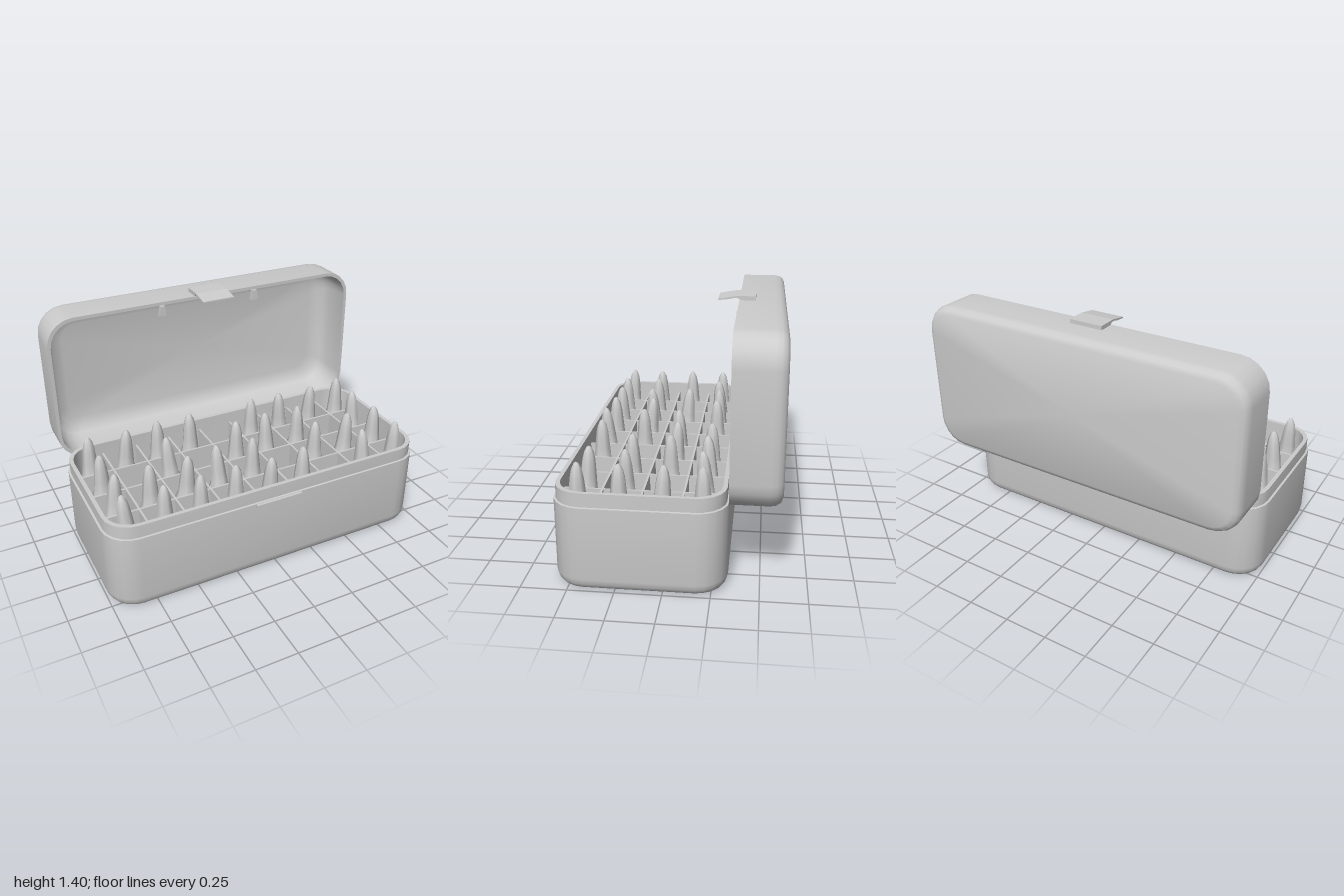
import * as THREE from 'three';
import { toCreasedNormals } from 'three/addons/utils/BufferGeometryUtils.js';

const grey = new THREE.MeshStandardMaterial({ color: 0xcccccc });
grey.name = 'light grey';

function add(parent, name, geometry, x = 0, y = 0, z = 0) {
  const mesh = new THREE.Mesh(geometry, grey);
  mesh.name = name;
  mesh.position.set(x, y, z);
  parent.add(mesh);
  return mesh;
}

// Skin through rounded rectangles, each [halfWidth, halfDepth, cornerRadius, y]
function loft(rings, steps = 5) {
  const points = [], faces = [], n = 4 * (steps + 1);
  for (const [w, d, r, y] of rings) {
    for (let q = 0; q < 4; q++) {
      const sx = q === 0 || q === 3 ? 1 : -1, sz = q < 2 ? 1 : -1;
      for (let k = 0; k <= steps; k++) {
        const a = (q + k / steps) * Math.PI / 2;
        points.push(sx * (w - r) + r * Math.cos(a), y, sz * (d - r) + r * Math.sin(a));
      }
    }
  }
  for (let i = 0; i < rings.length - 1; i++) {
    for (let j = 0; j < n; j++) {
      const a = i * n + j, b = i * n + (j + 1) % n;
      faces.push(a, a + n, b, b, a + n, b + n);
    }
  }
  const g = new THREE.BufferGeometry();
  g.setAttribute('position', new THREE.Float32BufferAttribute(points, 3));
  g.setIndex(faces);
  return toCreasedNormals(g, 0.75);
}

// Outline extruded along its third axis, centred on it
function slab(outline, depth) {
  const shape = new THREE.Shape(outline.map(([x, y]) => new THREE.Vector2(x, y)));
  const g = new THREE.ExtrudeGeometry(shape, { depth, bevelEnabled: false });
  return g.translate(0, 0, -depth / 2);
}

export function createModel() {
  const model = new THREE.Group();
  model.name = 'openCartridgeBox';
  const midZ = 0.125;

  // Base: outer wall, stepped rim, inner wall and floor
  add(model, 'base', loft([
    [0, 0, 0, 0], [0.955, 0.413, 0.13, 0], [0.98, 0.438, 0.15, 0.012],
    [0.994, 0.452, 0.16, 0.035], [1, 0.458, 0.165, 0.065], [1, 0.458, 0.165, 0.472],
    [0.988, 0.447, 0.155, 0.474], [0.988, 0.447, 0.155, 0.55],
    [0.965, 0.424, 0.14, 0.55], [0.955, 0.418, 0.13, 0.03], [0, 0, 0, 0.03],
  ]), 0, 0, midZ);
  add(model, 'frontCatch', slab([[-0.15, -0.01], [0.14, -0.01], [0.14, 0.01], [-0.15, 0.01]], 0.024),
    0, 0.46, 0.588);

  // Lid: shallow tray standing on its long edge, open towards the front
  const lid = loft([
    [0, 0, 0, 0], [0.955, 0.408, 0.13, 0], [0.98, 0.434, 0.15, 0.012],
    [0.994, 0.447, 0.16, 0.035], [1, 0.452, 0.165, 0.065], [1, 0.452, 0.165, 0.268],
    [0.98, 0.432, 0.15, 0.268], [0.975, 0.427, 0.15, 0.12], [0.955, 0.407, 0.14, 0.065],
    [0.92, 0.372, 0.12, 0.035], [0.86, 0.312, 0.1, 0.022], [0, 0, 0, 0.022],
  ]);
  add(model, 'lid', lid.rotateX(Math.PI / 2), 0, 0.923, -0.603);

  // Latch tab on top of the lid, profile drawn in (z, y)
  const latch = slab([
    [-0.428, 1.37], [-0.345, 1.373], [-0.325, 1.387], [-0.305, 1.387], [-0.28, 1.38],
    [-0.215, 1.373], [-0.215, 1.38], [-0.315, 1.398], [-0.428, 1.398],
  ].map(([z, y]) => [-z, y]), 0.2);
  add(model, 'latch', latch.rotateY(Math.PI / 2), 0.01, 0, 0);

  // Lid hooks and hinge knuckles
  for (const x of [-0.3, 0.31]) {
    add(model, 'lidHook', slab([[-0.022, -0.03], [0.022, -0.03], [0.013, 0.03], [-0.013, 0.03]], 0.025),
      x, 1.32, -0.34);
  }
  for (const x of [-0.6, 0.6]) {
    const hinge = new THREE.CapsuleGeometry(0.022, 0.03, 4, 10).rotateZ(Math.PI / 2);
    add(model, 'hinge', hinge, x, 0.452, -0.357);
  }

  // Divider grid: nine columns by four rows
  const pitch = 0.217, top = 0.48, floor = 0.03, h = top - floor;
  const columnX = (c) => (c - 4) * pitch + 0.008;
  const rowZ = (r) => midZ + (r - 1.5) * pitch;
  for (let c = 0; c < 8; c++) {
    add(model, 'crossDivider', new THREE.BoxGeometry(0.012, h, 0.845), columnX(c + 0.5), floor + h / 2, midZ);
  }
  for (let r = 0; r < 3; r++) {
    add(model, 'longDivider', new THREE.BoxGeometry(1.92, h, 0.012), 0, floor + h / 2, rowZ(r + 0.5));
  }

  // Cartridges: case, shoulder, neck and pointed bullet
  const profile = [
    [0, 0], [0.085, 0], [0.085, 0.02], [0.082, 0.29], [0.078, 0.33], [0.052, 0.4], [0.046, 0.47],
    [0.041, 0.52], [0.037, 0.56], [0.028, 0.605], [0.014, 0.635], [0, 0.644],
  ].map(([x, y]) => new THREE.Vector2(x, y));
  const cartridge = toCreasedNormals(new THREE.LatheGeometry(profile, 7), 1);
  const layout = ['1111.1111', '1.1.111.1', '11111.111', '111111.11'];
  // Lean of the tip, keyed by row and column
  const leans = {
    '01': [0.03, 0.03], '06': [-0.04, 0.02], '07': [0, 0.04], '12': [-0.04, -0.04],
    '15': [-0.02, -0.03], '18': [-0.02, -0.03], '20': [0.03, 0], '22': [0.03, 0.02],
    '23': [-0.02, -0.05], '27': [0.03, 0], '30': [-0.03, -0.03], '34': [0, 0.04], '37': [-0.03, -0.03],
  };
  layout.forEach((row, r) => [...row].forEach((cell, c) => {
    if (cell === '.') return;
    const [dx, dz] = leans[`${r}${c}`] || [0, 0];
    const m = add(model, 'cartridge', cartridge, columnX(c) - dx / 2, floor, rowZ(r) - dz / 2);
    m.rotation.set(dz / 0.64, 0, -dx / 0.64);
    m.rotateY(r * 1.3 + c * 0.7);
  }));
  return model;
}
